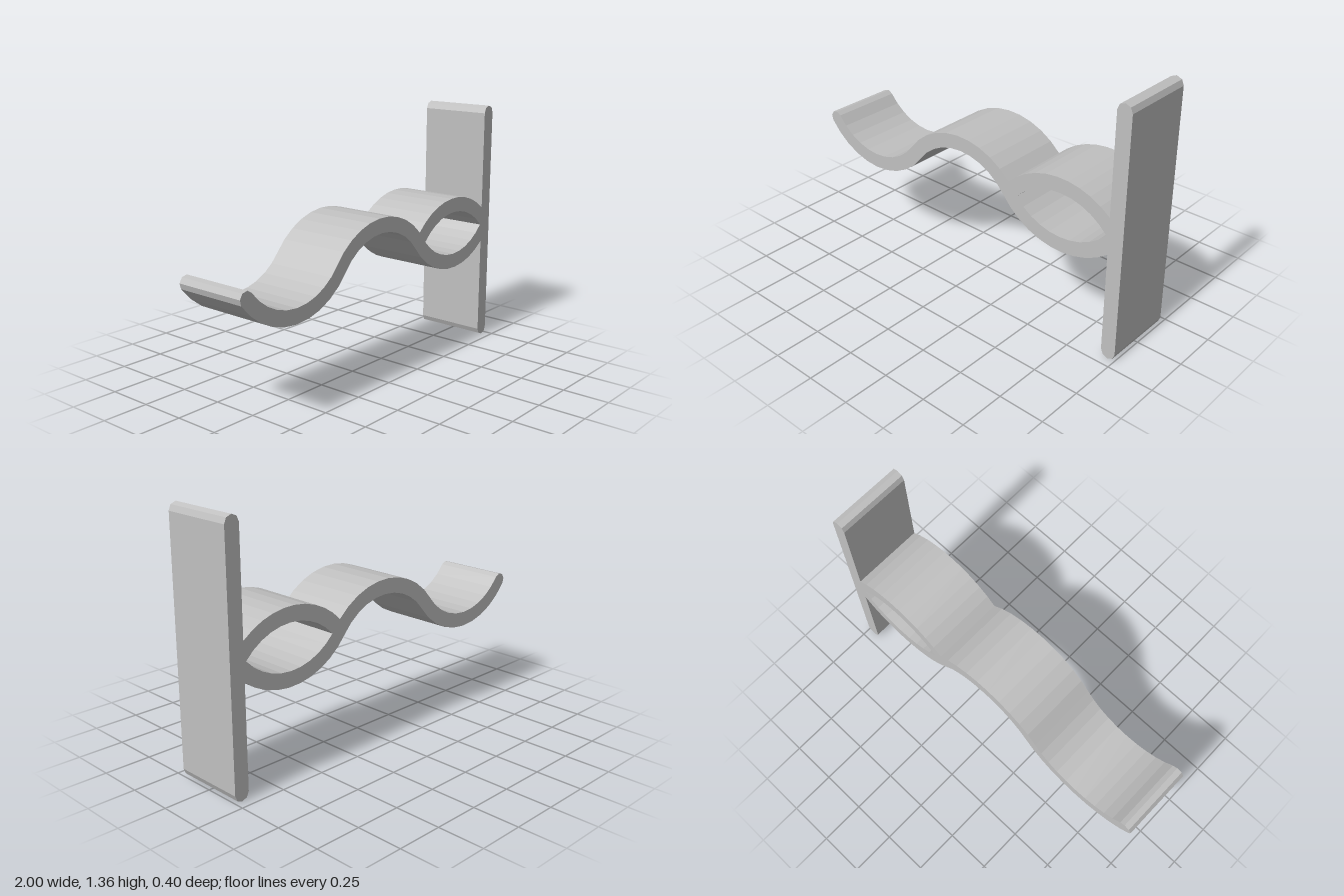
import * as THREE from 'three';

const DEPTH = 0.4;
const BEND = 0.4;   // centreline radius of each wave
const HALF = 0.04;  // half the strip thickness
const OUT = BEND + HALF, IN = BEND - HALF;
const LOW = 0.44, HIGH = 0.92; // bend centres for crests and troughs
const A = Math.asin(0.6);      // angle at which neighbouring bends meet
const PI = Math.PI;

// Points along a faceted arc
function arc(x, y, r, from, to, n = 10) {
  return Array.from({ length: n + 1 }, (_, i) => {
    const a = from + (to - from) * i / n;
    return new THREE.Vector2(x + r * Math.cos(a), y + r * Math.sin(a));
  });
}

function slab(name, outline, material, hole) {
  const shape = new THREE.Shape(outline);
  if (hole) shape.holes.push(new THREE.Path(hole));
  const geometry = new THREE.ExtrudeGeometry(shape, { depth: DEPTH, bevelEnabled: false });
  geometry.translate(0, 0, -DEPTH / 2);
  const mesh = new THREE.Mesh(geometry, material);
  mesh.name = name;
  return mesh;
}

export function createModel() {
  const group = new THREE.Group();
  group.name = 'wavyWallHook';
  const grey = new THREE.MeshStandardMaterial({ color: 0xc0c0c0 });
  grey.name = 'lightGrey';

  // Upright back plate with rounded ends
  group.add(slab('backPlate', [
    ...arc(0.96, 0.04, HALF, PI, 2 * PI, 4),
    ...arc(0.96, 1.32, HALF, 0, PI, 4),
  ], grey));

  // Wavy strip that splits into an eye-shaped loop at the plate
  const plateAngle = Math.acos(0.28 / OUT);
  const notch = Math.acos(0.32 / OUT);
  const wave = [
    // underside, left to right
    ...arc(-0.64, HIGH, OUT, PI + A, 2 * PI - A),
    ...arc(0, LOW, IN, PI - A, A).slice(1),
    ...arc(0.64, HIGH, OUT, PI + A, 2 * PI - plateAngle).slice(1),
    // top side, right to left
    ...arc(0.64, LOW, OUT, plateAngle, PI - notch),
    ...arc(0, LOW, OUT, notch, PI - A).slice(1),
    ...arc(-0.64, HIGH, IN, 2 * PI - A, PI + A).slice(1),
    // rounded tip
    ...arc(-0.96, 0.68, HALF, A, PI + A, 4).slice(1, -1),
  ];
  const tip = Math.asin(0.24 / IN);
  const eye = [
    ...arc(0.64, LOW, IN, tip, PI - tip),
    ...arc(0.64, HIGH, IN, PI + tip, 2 * PI - tip).slice(1, -1),
  ];
  group.add(slab('wavyHook', wave, grey, eye));

  return group;
}
